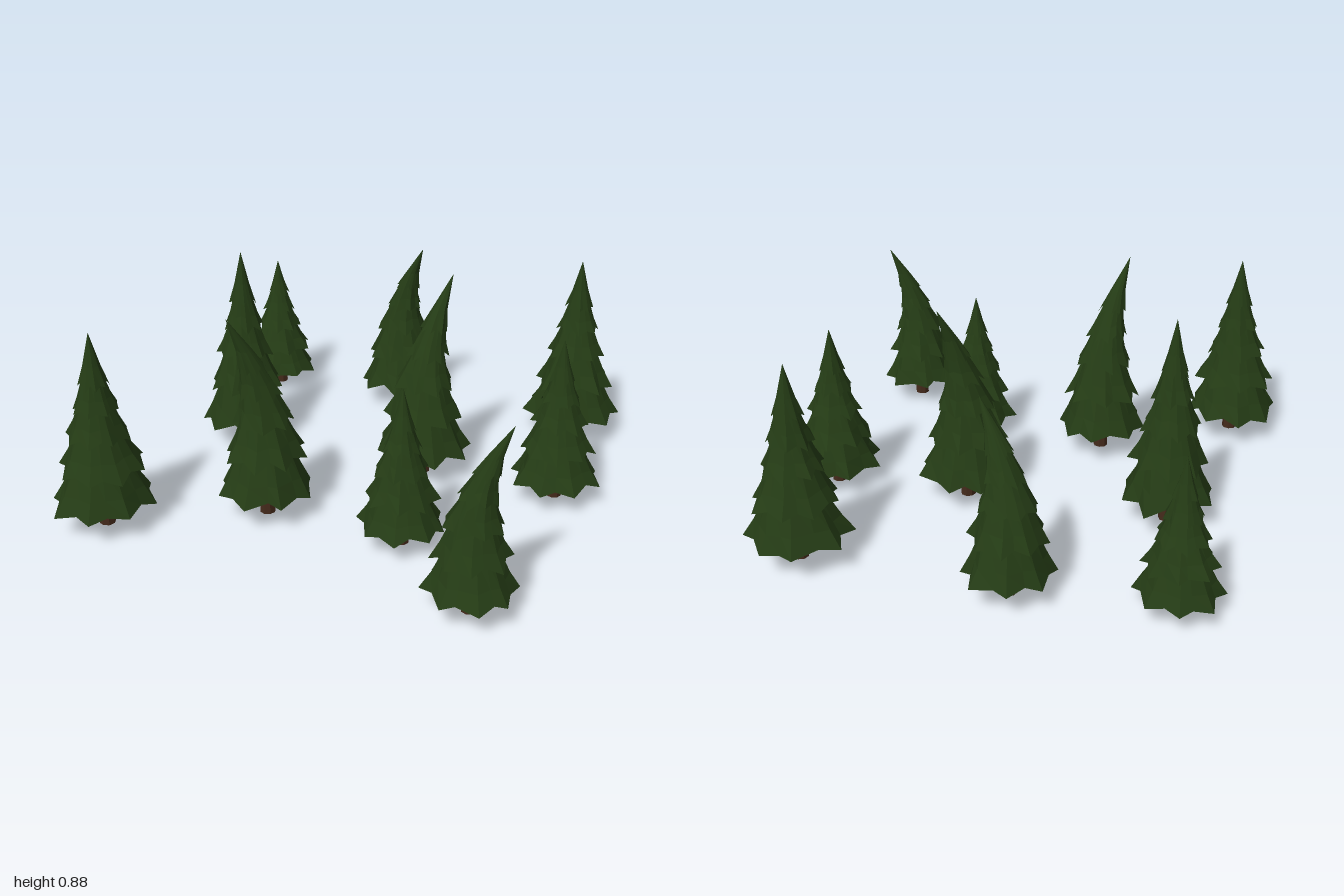
import * as THREE from 'three';

const leaf = new THREE.MeshStandardMaterial({ color: 0x243b15, flatShading: true, side: THREE.DoubleSide });
const bark = new THREE.MeshStandardMaterial({ color: 0x442a1b, flatShading: true });

// x, z, height, skirt radius, and how far the tip leans in x and z
const TREES = [
  [-0.735, -0.72, 0.63, 0.18, 0, 0],
  [-0.115, -0.775, 0.78, 0.195, 0.115, 0.04],
  [0.73, -0.745, 0.82, 0.22, 0, 0],
  [-0.605, -0.125, 0.88, 0.205, 0, 0],
  [0.235, -0.135, 0.87, 0.21, 0.075, -0.115],
  [0.81, -0.155, 0.7, 0.195, 0, 0],
  [-0.225, 0.425, 0.87, 0.21, -0.085, 0.115],
  [0.355, 0.425, 0.66, 0.185, 0, 0],
  [-0.777, 0.75, 0.82, 0.22, 0, 0],
  [0.74, 0.745, 0.745, 0.185, 0.12, -0.035],
];

// rim height and rim radius of each skirt, as fractions of the tree
const TIERS = [[0.11, 1], [0.29, 0.83], [0.46, 0.62], [0.6, 0.44], [0.725, 0.29]];
const POINTS = 8;
const SIDES = POINTS * 2;

function seeded(seed) {
  let s = seed;
  return () => (s = (s * 16807) % 2147483647) / 2147483647;
}

// one jagged skirt: pleated rim, flared middle, narrow top tucked under the next skirt
function skirt(i, h, r, rand) {
  const [rimY, rimR] = TIERS[i];
  const next = TIERS[i + 1];
  const topY = next ? next[0] + 0.07 : 1;
  const topR = next ? next[1] * 0.58 : 0;
  const turn = rand() * Math.PI;
  const jitter = Array.from({ length: SIDES }, () => [rand() - 0.5, rand() - 0.5, rand() - 0.5]);
  const rings = [
    { t: 0, pleat: 1 },
    { t: 0.4, pleat: 0.55 },
    { t: 1, pleat: 0 },
  ];
  const pos = [], index = [];
  rings.forEach(({ t, pleat }, k) => {
    const flare = Math.pow(1 - t, 1.2);
    for (let j = 0; j < SIDES; j++) {
      const [ja, jr, jy] = jitter[j];
      const notch = j % 2;
      const a = turn + ((j + ja * 0.45) / SIDES) * Math.PI * 2;
      let radius = topR + (rimR - topR) * flare;
      radius *= 1 - pleat * (notch * 0.15 + (jr + 0.5) * 0.09);
      const y = rimY + (topY - rimY) * t + pleat * (notch * 0.025 + (jy + 0.5) * 0.025) * (k ? 0.5 : 1);
      pos.push(Math.sin(a) * radius * r, y * h, Math.cos(a) * radius * r);
      if (k < rings.length - 1) {
        const n = (j + 1) % SIDES, b = k * SIDES;
        index.push(b + j, b + n, b + SIDES + j);
        if (next || k < rings.length - 2) index.push(b + n, b + SIDES + n, b + SIDES + j);
      }
    }
  });
  const g = new THREE.BufferGeometry();
  g.setAttribute('position', new THREE.Float32BufferAttribute(pos, 3));
  g.setIndex(index);
  return g;
}

// push the upper part of the crown sideways along a curve
function lean(g, h, dx, dz) {
  const p = g.attributes.position;
  for (let i = 0; i < p.count; i++) {
    const y = p.getY(i);
    const s = Math.pow(Math.max(0, (y / h - 0.4) / 0.6), 2.1);
    p.setX(i, p.getX(i) + dx * s);
    p.setZ(i, p.getZ(i) + dz * s);
  }
  g.computeVertexNormals();
  return g;
}

function mesh(geometry, material, name) {
  const m = new THREE.Mesh(geometry, material);
  m.name = name;
  return m;
}

function makeTree([x, z, h, r, dx, dz], n) {
  const tree = new THREE.Group();
  tree.name = `tree${n + 1}`;
  tree.position.set(x, 0, z);
  const rand = seeded(4871 * (n + 1));
  const trunkH = h * 0.5;
  const trunk = mesh(new THREE.CylinderGeometry(0.02, 0.032, trunkH, 8), bark, 'trunk');
  trunk.position.y = trunkH / 2;
  tree.add(trunk);
  TIERS.forEach((_, i) => tree.add(mesh(lean(skirt(i, h, r, rand), h, dx, dz), leaf, `branchSkirt${i + 1}`)));
  return tree;
}

export function createModel() {
  const grove = new THREE.Group();
  grove.name = 'pineGrove';
  TREES.forEach((t, n) => grove.add(makeTree(t, n)));
  return grove;
}
